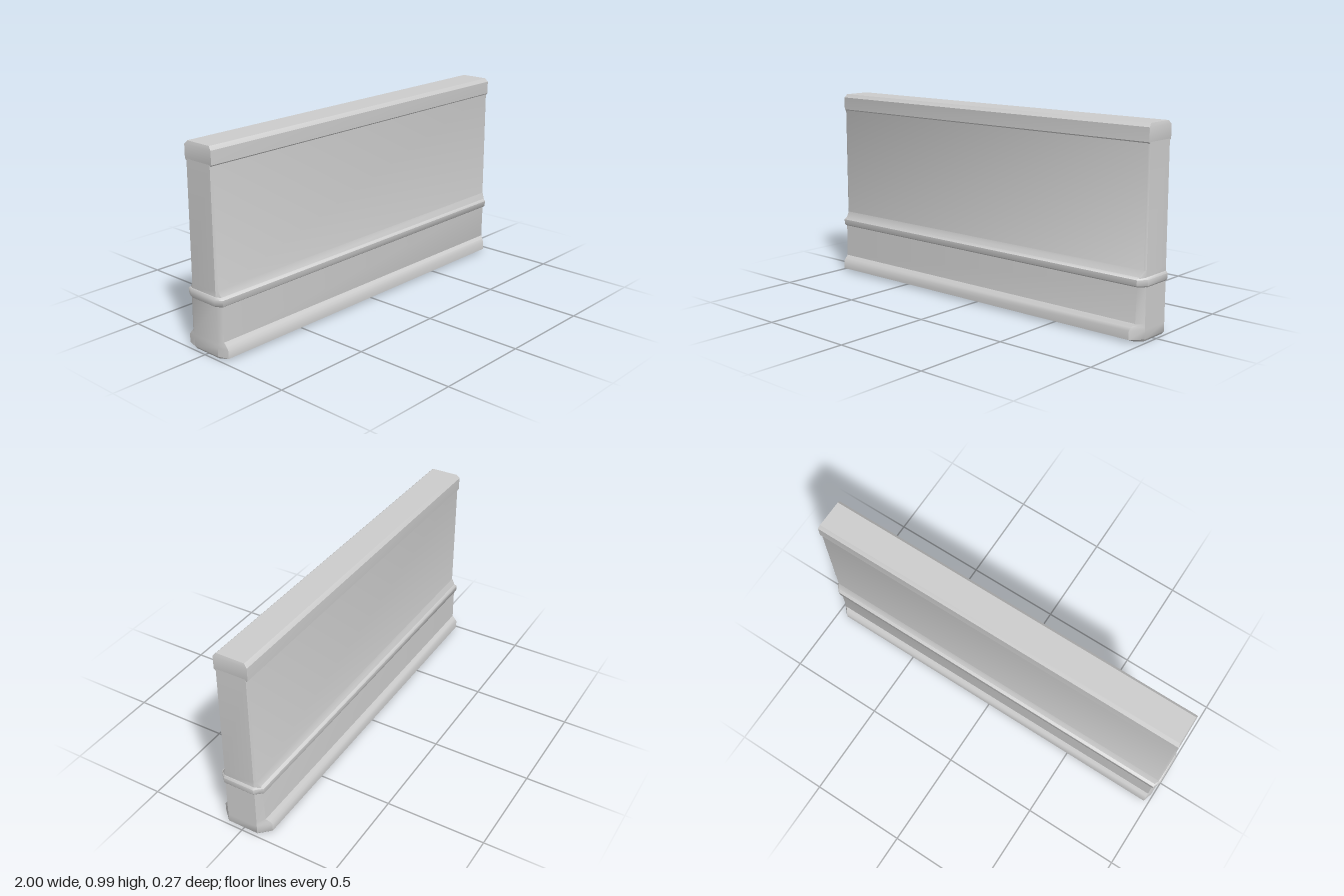
import * as THREE from 'three';
import { toCreasedNormals } from 'three/addons/utils/BufferGeometryUtils.js';

// Lofts eight-sided rings, bottom to top.
// Row: [y, half length, half depth, half depth of end face, chamfer at -x, chamfer at +x]
function loft(rows, crease) {
  const rings = rows.map(([y, x, z, e, cl, cr]) => [
    [-x, y, e], [-x + cl, y, z], [x - cr, y, z], [x, y, e],
    [x, y, -e], [x - cr, y, -z], [-x + cl, y, -z], [-x, y, -e],
  ]);
  const pos = [];
  const tri = (a, b, c) => pos.push(...a, ...b, ...c);
  for (let r = 0; r < rings.length - 1; r++) {
    for (let i = 0; i < 8; i++) {
      const j = (i + 1) % 8;
      const lo = rings[r], hi = rings[r + 1];
      tri(lo[i], lo[j], hi[j]);
      tri(lo[i], hi[j], hi[i]);
    }
  }
  // close bottom and top
  const bottom = rings[0], top = rings[rings.length - 1];
  for (let i = 1; i < 7; i++) {
    tri(bottom[0], bottom[i + 1], bottom[i]);
    tri(top[0], top[i], top[i + 1]);
  }
  const geo = new THREE.BufferGeometry();
  geo.setAttribute('position', new THREE.Float32BufferAttribute(pos, 3));
  return toCreasedNormals(geo, crease);
}

export function createModel() {
  const group = new THREE.Group();
  group.name = 'lowWall';
  const material = new THREE.MeshStandardMaterial({ color: 0xcccccc });
  const add = (name, rows, crease = 0.7) => {
    const mesh = new THREE.Mesh(loft(rows, crease), material);
    mesh.name = name;
    group.add(mesh);
  };

  // plinth with a flared foot
  add('plinth', [
    [0, 0.98, 0.1, 0.075, 0.015, 0.03],
    [0.013, 0.99, 0.133, 0.08, 0.015, 0.05],
    [0.055, 0.99, 0.133, 0.08, 0.015, 0.05],
    [0.07, 0.99, 0.121, 0.08, 0.015, 0.045],
    [0.085, 0.99, 0.107, 0.08, 0.015, 0.035],
    [0.26, 0.99, 0.105, 0.08, 0.015, 0.03],
  ]);

  // rounded moulding around the wall
  add('moulding', [
    [0.255, 0.993, 0.107, 0.075, 0.015, 0.03],
    [0.262, 0.998, 0.116, 0.08, 0.018, 0.035],
    [0.29, 1, 0.117, 0.08, 0.018, 0.035],
    [0.3, 0.994, 0.104, 0.075, 0.015, 0.03],
  ], 0.9);

  // main panel, splayed where it meets the moulding
  add('panel', [
    [0.295, 0.99, 0.106, 0.08, 0.012, 0.02],
    [0.33, 0.99, 0.086, 0.079, 0.01, 0.01],
    [0.905, 0.99, 0.083, 0.077, 0.01, 0.01],
  ]);

  // coping with bevelled upper edges
  add('coping', [
    [0.895, 0.988, 0.081, 0.08, 0.003, 0.003],
    [0.903, 0.99, 0.088, 0.087, 0.003, 0.003],
    [0.968, 0.99, 0.088, 0.087, 0.003, 0.003],
    [0.985, 0.985, 0.072, 0.071, 0.003, 0.003],
  ]);

  return group;
}
